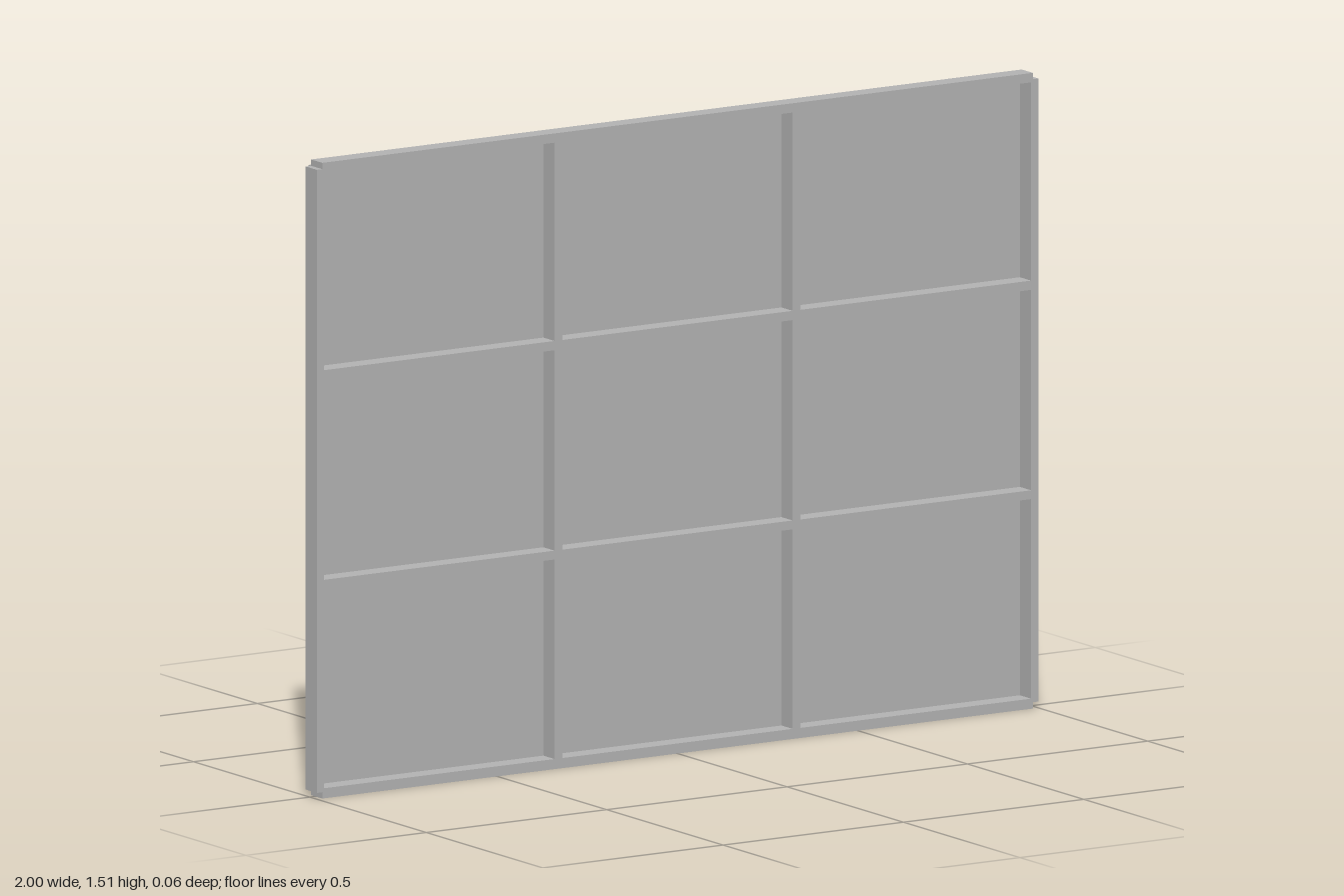
import * as THREE from 'three';

const W = 1, H = 1.51;       // half width, full height
const NOTCH = 0.015;         // small square cut at each frame corner
const FRONT = 0.03, SEAM = -0.018, BACK = -0.03;

// rectangular opening
function rectPath(x0, y0, x1, y1) {
  return new THREE.Path([[x0, y0], [x0, y1], [x1, y1], [x1, y0]]
    .map(([x, y]) => new THREE.Vector2(x, y)));
}

export function createModel() {
  const group = new THREE.Group();
  group.name = 'griddedPanel';
  const grey = new THREE.MeshStandardMaterial({ color: 0xb2b2b2 });
  grey.name = 'grey';

  // frame outline with notched corners
  const a = W - NOTCH, b = H - NOTCH;
  const outline = new THREE.Shape([
    [-a, 0], [a, 0], [a, NOTCH], [W, NOTCH], [W, b], [a, b],
    [a, H], [-a, H], [-a, b], [-W, b], [-W, NOTCH], [-a, NOTCH],
  ].map(([x, y]) => new THREE.Vector2(x, y)));

  // three by three openings between the bars
  const columns = [[-0.98, -0.341], [-0.319, 0.319], [0.341, 0.98]];
  const rows = [[0.024, 0.498], [0.519, 0.995], [1.017, 1.488]];
  for (const [x0, x1] of columns)
    for (const [y0, y1] of rows) outline.holes.push(rectPath(x0, y0, x1, y1));

  const frameGeometry = new THREE.ExtrudeGeometry(outline, { depth: FRONT - SEAM, bevelEnabled: false });
  frameGeometry.translate(0, 0, SEAM);
  const frame = new THREE.Mesh(frameGeometry, grey);
  frame.name = 'frameWithBars';
  group.add(frame);

  // flat sheet closing the back
  const sheet = new THREE.Mesh(new THREE.BoxGeometry(2 * a, H - 2 * NOTCH, SEAM - BACK), grey);
  sheet.name = 'backSheet';
  sheet.position.set(0, H / 2, (SEAM + BACK) / 2);
  group.add(sheet);

  return group;
}
